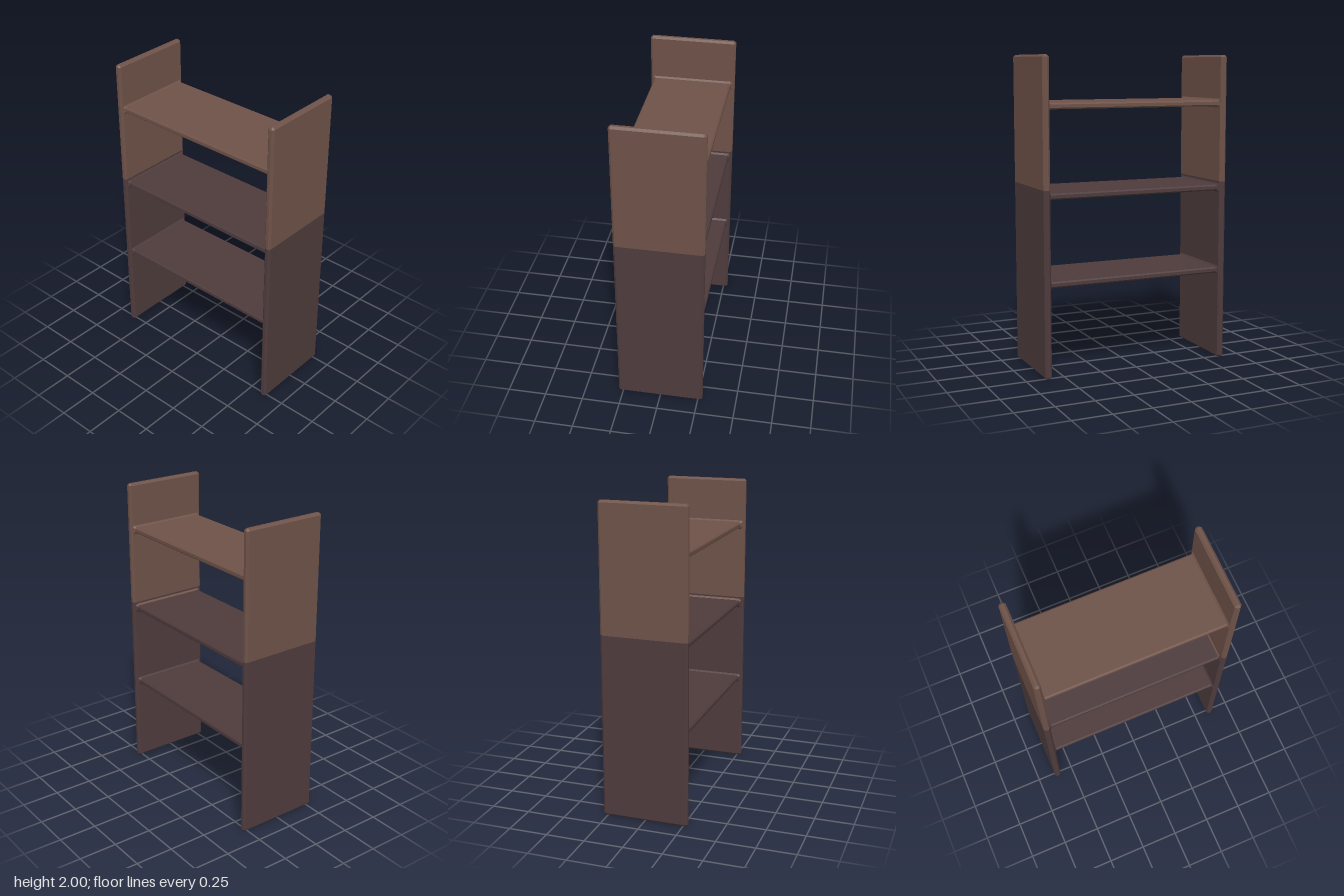
import * as THREE from 'three';

const brown = new THREE.MeshStandardMaterial({ color: 0x6e5248, flatShading: true });
brown.name = 'warm brown';
const dark = new THREE.MeshStandardMaterial({ color: 0x4e3b3c, flatShading: true });
dark.name = 'dark brown';

// Chamfered rectangle in the xz plane as eight points
function ring([y, w, d, c]) {
  return [[w, d - c], [w - c, d], [c - w, d], [-w, d - c],
    [-w, c - d], [c - w, -d], [w - c, -d], [w, c - d]].map(([x, z]) => [x, y, z]);
}

// Board lofted along y through [y, half width, half depth, chamfer] sections
function board(sections) {
  const rings = sections.map(ring);
  const pos = [];
  const tri = (a, b, c) => pos.push(...a, ...b, ...c);
  for (let s = 0; s < rings.length - 1; s++) {
    const lo = rings[s], hi = rings[s + 1];
    for (let i = 0; i < 8; i++) {
      const j = (i + 1) % 8;
      tri(lo[i], hi[i], hi[j]);
      tri(lo[i], hi[j], lo[j]);
    }
  }
  const first = rings[0], last = rings[rings.length - 1];
  for (let i = 1; i < 7; i++) {
    tri(first[0], first[i], first[i + 1]);
    tri(last[0], last[i + 1], last[i]);
  }
  const geo = new THREE.BufferGeometry();
  geo.setAttribute('position', new THREE.Float32BufferAttribute(pos, 3));
  geo.computeVertexNormals();
  return geo;
}

export function createModel() {
  const group = new THREE.Group();
  const add = (name, geo, mat, x = 0, y = 0) => {
    const mesh = new THREE.Mesh(geo, mat);
    mesh.name = name;
    mesh.position.set(x, y, 0);
    group.add(mesh);
    return mesh;
  };

  // Upright side panels, two-toned, with chamfered edges
  const W = 0.022, D = 0.28, C = 0.013, split = 1.183;
  const full = y => [y, W, D, C];
  const end = y => [y, W - C, D - C, 0.002];
  const lower = board([end(0), full(C), full(split)]);
  const upper = board([full(split), full(2 - C), end(2)]);
  for (const [side, x] of [['left', 0.61], ['right', -0.61]]) {
    add(side + 'PanelLower', lower, dark, x);
    add(side + 'PanelUpper', upper, brown, x);
  }

  // Shelves, flaring into the panels at both ends
  const T = 0.019, S = 0.255, F = 0.012;
  const shelf = board([
    [-0.59, T + F, S + F, 0.009], [-0.578, T, S, 0.009],
    [0.578, T, S, 0.009], [0.59, T + F, S + F, 0.009],
  ]).rotateZ(-Math.PI / 2);
  add('lowerShelf', shelf, dark, 0, 0.592);
  add('middleShelf', shelf, dark, 0, 1.141);
  add('upperShelf', shelf, brown, 0, 1.691);

  // Lighter strip along the middle shelf's left joint
  const strip = add('jointStrip', new THREE.BoxGeometry(0.003, 0.017, 0.5), brown, 0.584, 1.166);
  strip.rotation.z = -Math.PI / 4;

  return group;
}
